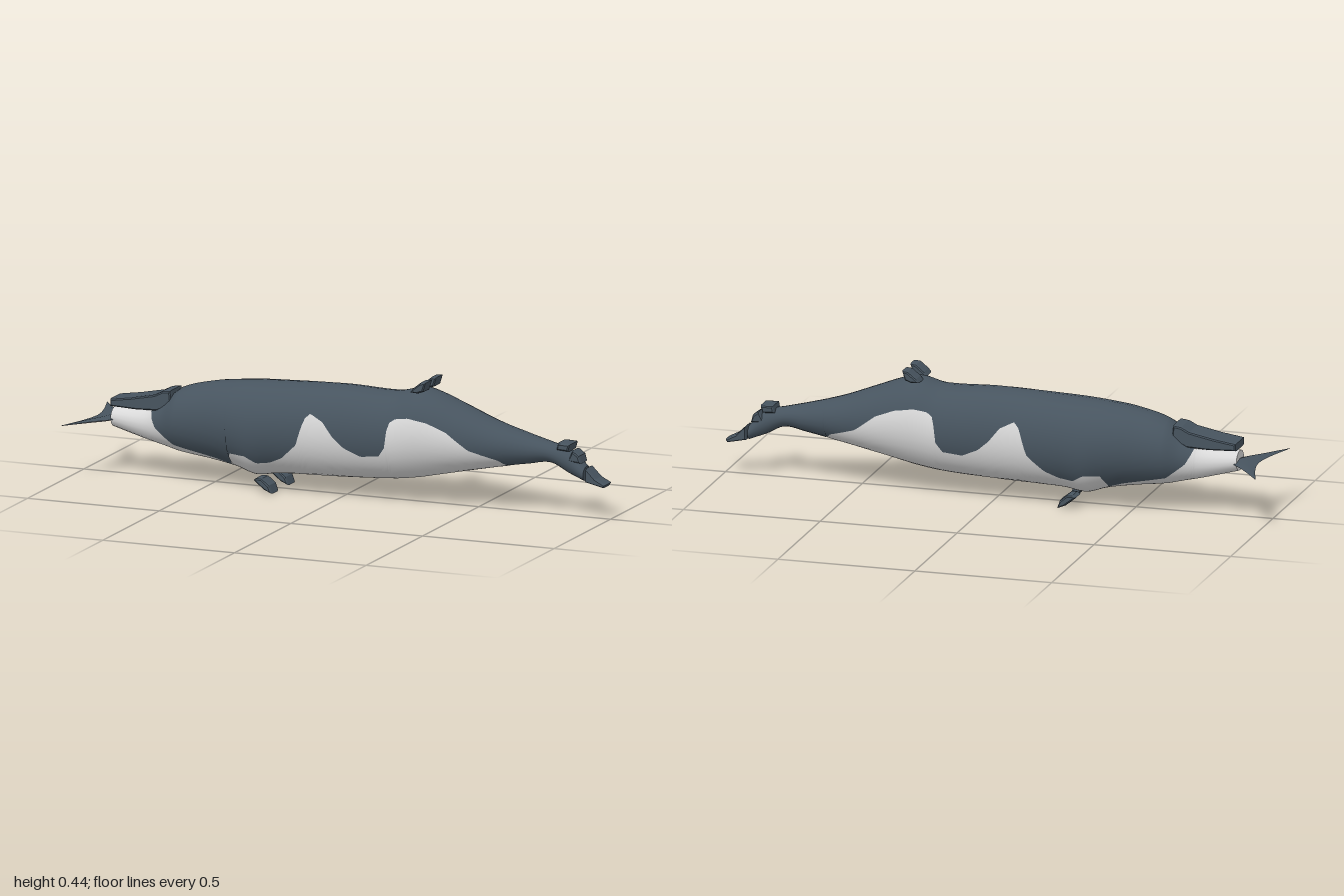
import * as THREE from 'three';

const slate = new THREE.MeshStandardMaterial({ color: 0x47545f });
slate.name = 'slate skin';
const pale = new THREE.MeshStandardMaterial({ color: 0xd8d8d8 });
pale.name = 'pale belly';

// Body stations: x, top y, bottom y, half width
const stations = [
  [-0.88, 0.238, 0.166, 0.045], [-0.75, 0.25, 0.13, 0.06], [-0.68, 0.285, 0.114, 0.08],
  [-0.62, 0.33, 0.1, 0.104], [-0.5, 0.363, 0.084, 0.12], [-0.4, 0.376, 0.066, 0.134],
  [-0.33, 0.382, 0.045, 0.14], [-0.25, 0.386, 0.056, 0.138], [0, 0.394, 0.065, 0.132],
  [0.2, 0.39, 0.077, 0.13], [0.29, 0.41, 0.09, 0.13], [0.35, 0.398, 0.103, 0.124],
  [0.45, 0.36, 0.125, 0.108], [0.57, 0.314, 0.15, 0.085], [0.7, 0.277, 0.174, 0.058],
  [0.78, 0.257, 0.185, 0.042], [0.85, 0.238, 0.152, 0.037], [0.91, 0.182, 0.128, 0.035],
];

// Upper edge of the pale belly: x, y
const edge = [
  [-0.88, 0.4], [-0.735, 0.4], [-0.725, 0.235], [-0.7, 0.19], [-0.63, 0.135], [-0.47, 0.1],
  [-0.415, 0.08], [-0.405, 0.133], [-0.34, 0.13], [-0.3, 0.105], [-0.25, 0.112], [-0.2, 0.135],
  [-0.14, 0.19], [-0.11, 0.285], [-0.09, 0.305], [-0.04, 0.28], [0, 0.23], [0.04, 0.195],
  [0.1, 0.168], [0.17, 0.175], [0.195, 0.21], [0.205, 0.295], [0.23, 0.313], [0.28, 0.32],
  [0.35, 0.308], [0.42, 0.28], [0.5, 0.22], [0.6, 0.187], [0.635, 0.15], [0.66, 0.05], [0.91, 0.05],
];

const segmentOf = (table, x) => {
  let i = 0;
  while (i < table.length - 2 && x > table[i + 1][0]) i++;
  return i;
};

function linear(table, x) {
  const i = segmentOf(table, x), [p, q] = [table[i], table[i + 1]];
  return THREE.MathUtils.lerp(p[1], q[1], (x - p[0]) / (q[0] - p[0]));
}

// Smooth curve through one column of a table
function smooth(table, x, col) {
  const i = segmentOf(table, x), d = table[i + 1][0] - table[i][0], u = (x - table[i][0]) / d;
  const slope = (k) => {
    const a = table[Math.max(k - 1, 0)], b = table[Math.min(k + 1, table.length - 1)];
    return (b[col] - a[col]) / (b[0] - a[0]);
  };
  const p = table[i][col], q = table[i + 1][col], v = 1 - u;
  return p * (1 + 2 * u) * v * v + slope(i) * d * u * v * v
    + q * u * u * (3 - 2 * u) - slope(i + 1) * d * u * u * v;
}

// Point on the hull at station x and angle t
function hull(x, t) {
  const top = smooth(stations, x, 1), low = smooth(stations, x, 2);
  return new THREE.Vector3(x, (top + low) / 2 + (top - low) / 2 * Math.sin(t),
    smooth(stations, x, 3) * Math.cos(t));
}

function edgeAngle(x) {
  const top = smooth(stations, x, 1), low = smooth(stations, x, 2);
  const s = (linear(edge, x) - (top + low) / 2) / ((top - low) / 2);
  return Math.asin(THREE.MathUtils.clamp(s, -1, 1));
}

// Strip of hull between two angles that vary along the body
function hullSkin(from, to) {
  const nx = 220, nt = 18, pos = [], nor = [], index = [], e = 1e-3;
  for (let i = 0; i <= nx; i++) {
    const x = -0.88 + 1.79 * i / nx;
    for (let j = 0; j <= nt; j++) {
      const t = THREE.MathUtils.lerp(from(x), to(x), j / nt);
      const n = hull(x + e, t).sub(hull(x - e, t)).cross(hull(x, t + e).sub(hull(x, t - e)));
      pos.push(...hull(x, t).toArray());
      nor.push(...n.normalize().toArray());
      if (i < nx && j < nt) {
        const a = i * (nt + 1) + j, b = a + nt + 1;
        index.push(a, b, b + 1, a, b + 1, a + 1);
      }
    }
  }
  const g = new THREE.BufferGeometry();
  g.setAttribute('position', new THREE.Float32BufferAttribute(pos, 3));
  g.setAttribute('normal', new THREE.Float32BufferAttribute(nor, 3));
  g.setIndex(index);
  return g;
}

// Flat oval closing one end of the hull
function hullCap(x, side) {
  const h = (smooth(stations, x, 1) - smooth(stations, x, 2)) / 2;
  const g = new THREE.CircleGeometry(1, 24);
  g.scale(smooth(stations, x, 3), h, 1).rotateY(side * Math.PI / 2);
  return g.translate(x, smooth(stations, x, 2) + h, 0);
}

// Side profile extruded across z with chamfered ends
function slab(points, z, width, bevel = 0.006, round = 0.014) {
  const shape = new THREE.Shape(points.map((p) => new THREE.Vector2(...p)));
  const g = new THREE.ExtrudeGeometry(shape, {
    depth: width - 2 * round, bevelEnabled: true, bevelSize: bevel, bevelOffset: -bevel,
    bevelThickness: round, bevelSegments: 2,
  });
  return g.translate(0, 0, z - width / 2 + round);
}

// Half of the fluke surface: sign 1 is the top, -1 the underside
function flukeSkin(sign) {
  const lead = [[0, -0.84], [0.05, -0.872], [0.09, -0.91], [0.14, -0.95], [0.205, -0.998]];
  const trail = [[0, -0.948], [0.05, -0.954], [0.12, -0.972], [0.205, -1]];
  const n = 32, pos = [], index = [];
  for (let i = 0; i <= n; i++) {
    const z = -0.205 + 0.41 * i / n, a = Math.abs(z);
    const l = smooth(lead, a, 1), r = smooth(trail, a, 1);
    const thick = 0.001 + 0.011 * (1 - a / 0.205);
    pos.push(l, 0.198, z, l * 0.6 + r * 0.4, 0.198 + sign * thick, z, r, 0.198, z);
    for (let j = 0; i < n && j < 2; j++) {
      const p = i * 3 + j, q = p + 3;
      index.push(...(sign < 0 ? [p, q, p + 1, q, q + 1, p + 1] : [p, p + 1, q, q, p + 1, q + 1]));
    }
  }
  const g = new THREE.BufferGeometry();
  g.setAttribute('position', new THREE.Float32BufferAttribute(pos, 3));
  g.setIndex(index);
  g.computeVertexNormals();
  return g;
}

export function createModel() {
  const model = new THREE.Group();
  model.name = 'whale';
  const add = (name, geometry, material = slate) => {
    const mesh = new THREE.Mesh(geometry, material);
    mesh.name = name;
    model.add(mesh);
  };

  // Body
  add('back', hullSkin(edgeAngle, (x) => Math.PI - edgeAngle(x)));
  add('belly', hullSkin((x) => Math.PI - edgeAngle(x), (x) => 2 * Math.PI + edgeAngle(x)), pale);
  add('tailEnd', hullCap(-0.88, -1), pale);
  add('snoutEnd', hullCap(0.91, 1));

  // Tail
  add('flukeTop', flukeSkin(1));
  add('flukeUnderside', flukeSkin(-1), pale);
  add('tailRidge', slab([[-0.88, 0.246], [-0.78, 0.242], [-0.7, 0.245], [-0.645, 0.27],
    [-0.65, 0.322], [-0.68, 0.318], [-0.71, 0.303], [-0.8, 0.285], [-0.88, 0.273]], 0, 0.108));

  // Snout plates and jaw tip
  add('browPlate', slab([[0.81, 0.238], [0.855, 0.235], [0.862, 0.262], [0.815, 0.264]], 0, 0.082));
  add('nosePlate', slab([[0.85, 0.2], [0.9, 0.195], [0.893, 0.222], [0.868, 0.24]], 0, 0.068));
  add('jawTip', slab([[0.916, 0.13], [0.985, 0.115], [0.992, 0.126], [0.955, 0.145],
    [0.918, 0.18]], 0, 0.066, 0.004));

  // Paired fins
  for (const [name, s] of [['left', -1], ['right', 1]]) {
    add(name + 'BackFin', slab([[0.27, 0.404], [0.3, 0.402], [0.322, 0.41], [0.332, 0.444],
      [0.31, 0.442], [0.28, 0.418]], s * 0.048, 0.066));
    add(name + 'Flipper', slab([[-0.312, 0.045], [-0.3, 0.034], [-0.272, 0.012], [-0.242, 0],
      [-0.252, 0.03], [-0.28, 0.052], [-0.3, 0.053]], s * 0.074, 0.07));
  }
  return model;
}
